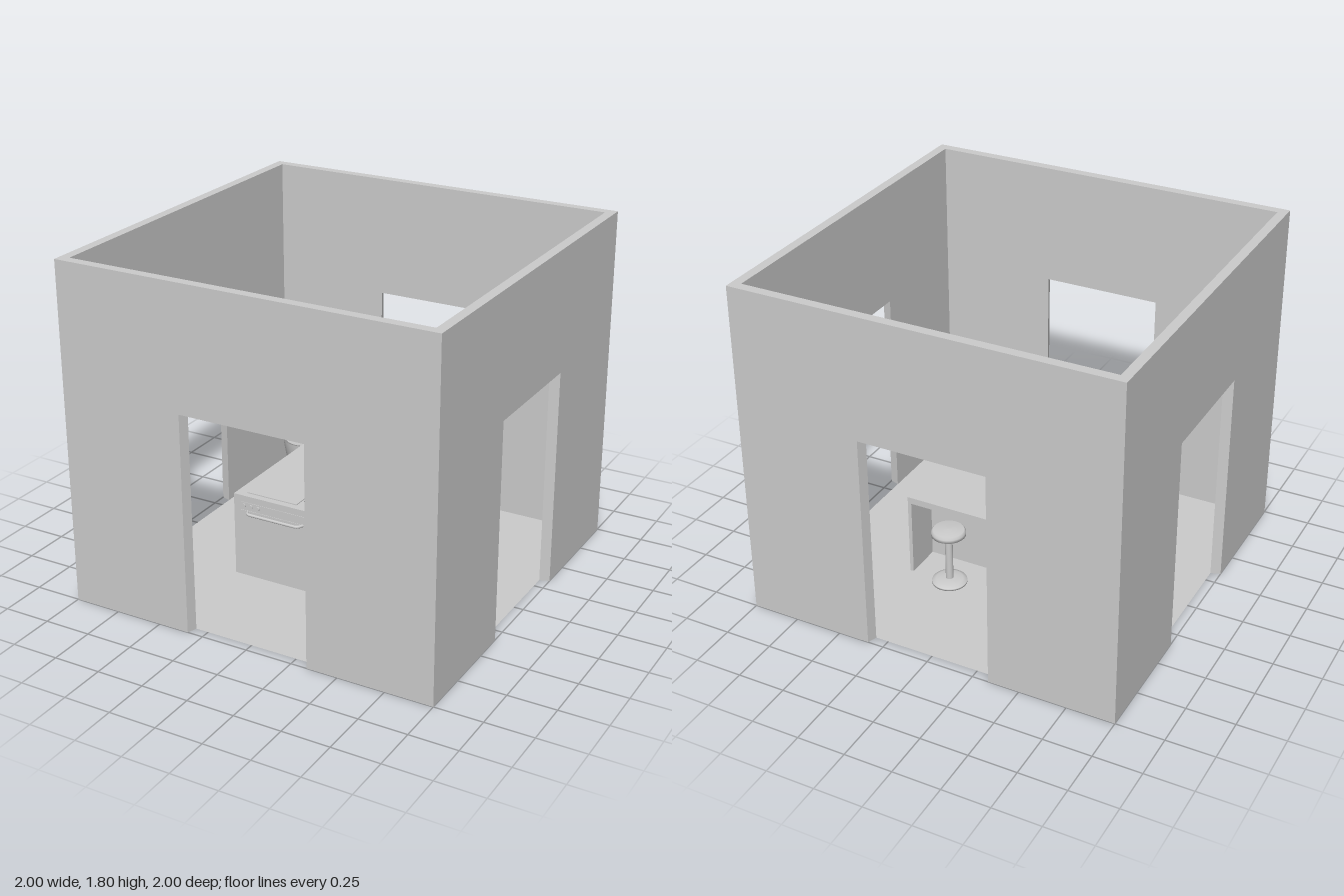
import * as THREE from 'three';

const grey = new THREE.MeshStandardMaterial({ color: 0xcccccc });
const thin = new THREE.MeshStandardMaterial({ color: 0xcccccc, side: THREE.DoubleSide });

function add(parent, name, geo, pos = [0, 0, 0], mat = grey) {
  const m = new THREE.Mesh(geo, mat);
  m.name = name;
  m.position.set(...pos);
  parent.add(m);
  return m;
}

function group(parent, name, pos = [0, 0, 0]) {
  const g = new THREE.Group();
  g.name = name;
  g.position.set(...pos);
  parent.add(g);
  return g;
}

const box = (w, h, d) => new THREE.BoxGeometry(w, h, d);
const vecs = (pts, C = THREE.Vector2) => pts.map((p) => new C(...p));

// Plan outline given as [x, z], raised upward by h
const plan = (pts) => new THREE.Shape(vecs(pts.map(([x, z]) => [x, -z])));
const slab = (shape, h) =>
  new THREE.ExtrudeGeometry(shape, { depth: h, bevelEnabled: false, curveSegments: 16 }).rotateX(-Math.PI / 2);
const rect = (x0, x1, z0, z1) => [[x0, z0], [x0, z1], [x1, z1], [x1, z0]];
const tube = (pts, r, seg = 32, tension = 0.5) => new THREE.TubeGeometry(
  new THREE.CatmullRomCurve3(vecs(pts, THREE.Vector3), false, 'catmullrom', tension), seg, r, 10);

// Wall with a doorway, mitred so that the inner face is 0.95 of the outer one
function wallGeometry() {
  const d = 0.335, top = 1.155;
  const s = new THREE.Shape(vecs([
    [-1, 0], [-d, 0], [-d, top], [d, top], [d, 0], [1, 0], [1, 1.8], [-1, 1.8]]));
  const g = new THREE.ExtrudeGeometry(s, { depth: 0.05, bevelEnabled: false }).translate(0, 0, 0.95);
  const p = g.attributes.position;
  for (let i = 0; i < p.count; i++) p.setX(i, p.getX(i) * p.getZ(i));
  g.computeVertexNormals();
  return g;
}

// Open basin with walls that taper inward
function basinGeometry(w, h, d, taper) {
  const g = box(w, h, d);
  const p = g.attributes.position;
  for (let i = 0; i < p.count; i++) {
    if (p.getY(i) > 0) continue;
    p.setX(i, p.getX(i) - Math.sign(p.getX(i)) * taper);
    p.setZ(i, p.getZ(i) - Math.sign(p.getZ(i)) * taper);
  }
  const idx = Array.from(g.index.array);
  idx.splice(12, 6); // leave out the lid
  g.setIndex(idx);
  g.clearGroups();
  g.computeVertexNormals();
  return g;
}

// Paddle-shaped leaf, narrow at the stem and arching outward along +x
function leafGeometry(r0, r1, width, y, rise) {
  const g = new THREE.PlaneGeometry(1, 1, 10, 4);
  const p = g.attributes.position;
  for (let i = 0; i < p.count; i++) {
    const t = p.getX(i) + 0.5, s = p.getY(i) * 2;
    const half = width / 2 * (0.2 + 0.8 * Math.sin(Math.PI * Math.pow(t, 1.3))) * (t > 0.95 ? 0.7 : 1);
    p.setXYZ(i, r0 + (r1 - r0) * t,
      y + rise * Math.sin(t * 2.1) + 0.015 * s * s * Math.sin(Math.PI * t), -s * half);
  }
  g.computeVertexNormals();
  return g;
}

function buildIsland(root) {
  const island = group(root, 'kitchenIsland');
  const [x0, x1, z0, z1] = [-0.46, 0.46, -0.375, 0.37];
  const sinkHole = () => plan(rect(0.07, 0.365, 0.12, 0.305));

  // Cabinet with a knee recess at the back, between two end panels
  const body = plan([[x0, z0], [x0, z1], [x1, z1], [x1, z0], [0.44, z0], [0.44, -0.175], [-0.44, -0.175], [-0.44, z0]]);
  body.holes.push(sinkHole());
  add(island, 'cabinet', slab(body, 0.42));
  const top = plan(rect(x0, x1, z0, z1));
  top.holes.push(sinkHole());
  add(island, 'countertop', slab(top, 0.035), [0, 0.42, 0]);
  add(island, 'sinkBasin', basinGeometry(0.295, 0.12, 0.185, 0.012), [0.2175, 0.395, 0.2125], thin);

  // Tap
  const tap = group(island, 'tap', [0.212, 0.455, 0.1]);
  add(tap, 'tapBase', box(0.055, 0.022, 0.026), [0, 0.014, -0.006]);
  add(tap, 'tapCollar', new THREE.CylinderGeometry(0.012, 0.014, 0.045, 16), [0, 0.0225, 0]);
  add(tap, 'spout', tube([[0, 0, 0], [0, 0.07, 0], [0, 0.098, 0.01], [0, 0.111, 0.038],
    [0, 0.1, 0.068], [0, 0.07, 0.08]], 0.007), [0, 0, 0], thin);

  // Hob and its controls
  add(island, 'hob', box(0.29, 0.006, 0.255), [-0.255, 0.457, 0.2075]);
  for (const z of [0.13, 0.182, 0.234, 0.286])
    add(island, 'hobKnob', new THREE.CylinderGeometry(0.01, 0.01, 0.01, 16), [-0.082, 0.459, z]);

  // Oven
  add(island, 'ovenPanel', box(0.4, 0.04, 0.006), [-0.217, 0.4, 0.37]);
  add(island, 'ovenDoor', box(0.4, 0.33, 0.006), [-0.217, 0.21, 0.37]);
  for (const x of [-0.4, -0.358, -0.316])
    add(island, 'ovenKnob', new THREE.CylinderGeometry(0.011, 0.011, 0.012, 16).rotateX(Math.PI / 2), [x, 0.402, 0.374]);
  add(island, 'ovenHandle', tube([[-0.38, 0.37, 0.368], [-0.372, 0.37, 0.385], [-0.355, 0.37, 0.4],
    [-0.08, 0.37, 0.4], [-0.062, 0.37, 0.385], [-0.055, 0.37, 0.368]], 0.008, 48, 0.1), [0, 0, 0], thin);
}

function buildStool(root, x) {
  const stool = group(root, 'stool', [x, 0, -0.364]);
  const lathe = (pts) => new THREE.LatheGeometry(vecs(pts), 32);
  add(stool, 'stoolBase', lathe([[0, 0], [0.092, 0], [0.092, 0.01], [0.07, 0.02], [0.03, 0.024], [0, 0.024]]));
  add(stool, 'stoolPost', new THREE.CylinderGeometry(0.02, 0.02, 0.28, 20), [0, 0.15, 0]);
  add(stool, 'stoolSeat', lathe([[0, 0.28], [0.07, 0.28], [0.09, 0.292], [0.09, 0.31], [0.08, 0.322], [0, 0.325]]));
}

function buildPlant(root) {
  const plant = group(root, 'pottedPlant', [-0.725, 0, -0.795]);
  add(plant, 'pot', new THREE.LatheGeometry(vecs([
    [0, 0], [0.09, 0], [0.13, 0.25], [0.118, 0.25], [0.112, 0.22], [0, 0.22]]), 24), [0, 0, 0], thin);

  // Each leaf: direction x, z, inner and outer reach, width, height
  const leaves = [
    [-0.2, -0.13, 0.045, 0.24, 0.13, 0.46], [0.065, -0.13, 0.07, 0.16, 0.08, 0.54],
    [0.24, -0.02, 0.06, 0.24, 0.1, 0.42], [-0.15, 0.18, 0.06, 0.235, 0.13, 0.44],
    [0.11, 0.16, 0.065, 0.22, 0.11, 0.4]];
  for (const [dx, dz, r0, r1, w, y] of leaves) {
    const leaf = group(plant, 'leafAndStem');
    leaf.rotation.y = -Math.atan2(dz, dx);
    add(leaf, 'leaf', leafGeometry(r0, r1, w, y, 0.1), [0, 0, 0], thin);
    add(leaf, 'stem', tube([[0.015, 0.21, 0], [0.025, 0.33, 0], [r0 + 0.01, y, 0]], 0.006, 10), [0, 0, 0], thin);
  }
}

function buildCornerShelf(root) {
  const unit = group(root, 'cornerShelf', [-0.95, 0, 0.95]);
  const quarter = new THREE.Shape();
  quarter.moveTo(0, 0);
  quarter.lineTo(0.187, 0);
  quarter.absarc(0, 0, 0.187, 0, Math.PI / 2);
  for (const y of [0.5, 0.75, 1]) add(unit, 'shelf', slab(quarter, 0.025), [0, y, 0]);
}

export function createModel() {
  const root = new THREE.Group();
  root.name = 'kitchenRoom';

  // Room shell: floor and four walls, each with a doorway
  add(root, 'floor', new THREE.PlaneGeometry(1.9, 1.9).rotateX(-Math.PI / 2), [0, 0, 0], thin);
  const wall = wallGeometry();
  for (let i = 0; i < 4; i++) add(root, 'wall', wall).rotation.y = i * Math.PI / 2;

  buildIsland(root);
  for (const x of [-0.2, 0.23]) buildStool(root, x);
  buildPlant(root);
  buildCornerShelf(root);
  return root;
}
